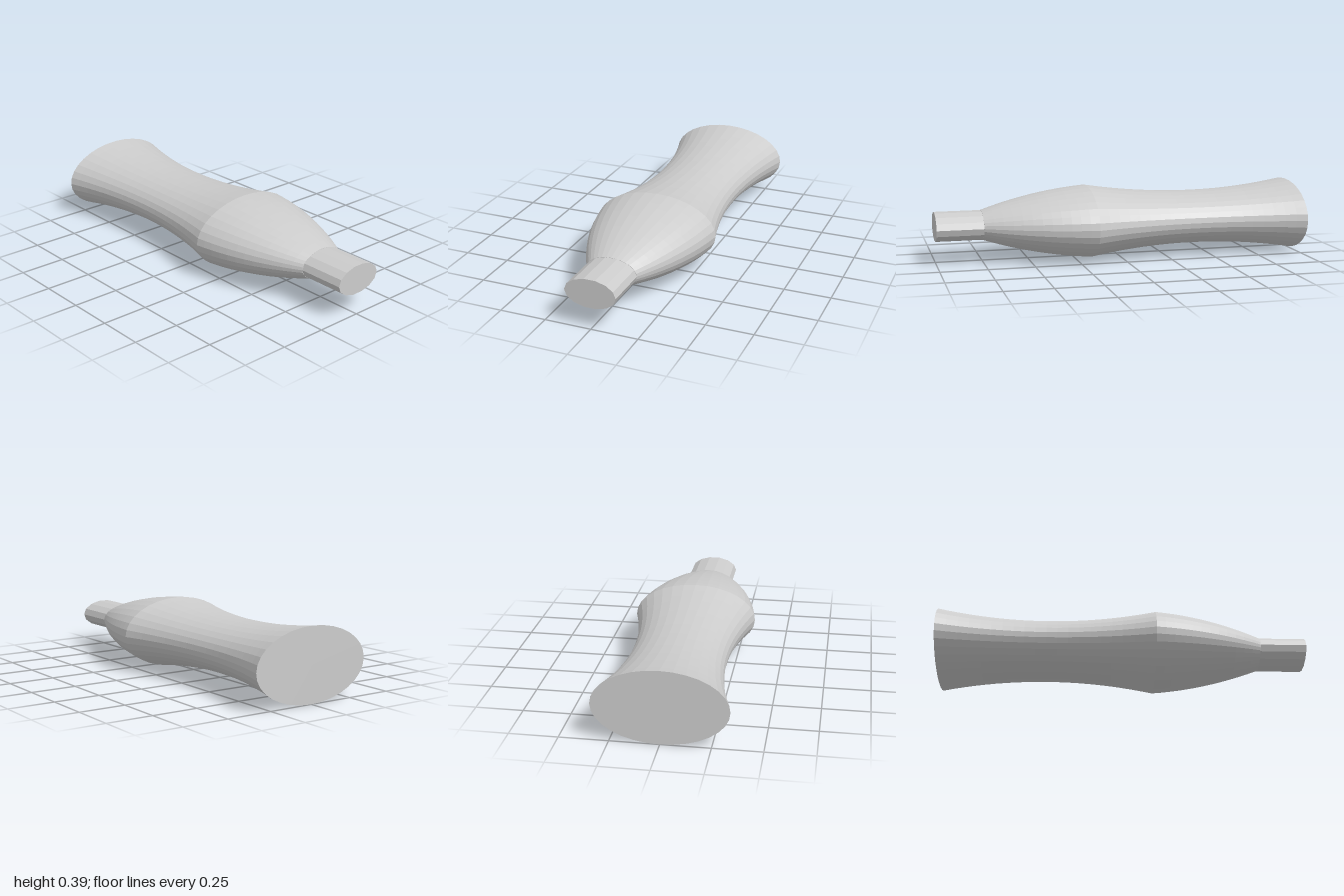
import * as THREE from 'three';

const FLATTEN = 0.571; // height / width of every cross-section
const CENTRE_Y = 0.195;

// Turned solid along z with an elliptical section; profile is [radius, z] from back to front
function turned(name, profile, sides) {
  const points = profile.map(([r, z]) => new THREE.Vector2(r, z));
  const geometry = new THREE.LatheGeometry(points, sides, Math.PI / 2);
  geometry.rotateX(Math.PI / 2);
  geometry.scale(1, FLATTEN, 1);
  geometry.translate(0, CENTRE_Y, 0);
  const material = new THREE.MeshStandardMaterial({ color: 0xcccccc, flatShading: true });
  const mesh = new THREE.Mesh(geometry, material);
  mesh.name = name;
  return mesh;
}

// Curve between two [radius, z] ends, bowed out (+) or in (-) at the middle
function bowed([r0, z0], [r1, z1], bow, steps) {
  return Array.from({ length: steps + 1 }, (_, i) => {
    const t = i / steps;
    return [r0 + (r1 - r0) * t + 4 * bow * t * (1 - t), z0 + (z1 - z0) * t];
  });
}

export function createModel() {
  const group = new THREE.Group();
  group.name = 'handle';

  // Waisted grip, closed at the back
  const grip = bowed([0.339, -1], [0.339, 0.17], -0.087, 20);
  // Rounded shoulder tapering to the neck
  const shoulder = bowed([0.339, 0.17], [0.137, 0.75], 0.033, 12).slice(1);
  group.add(turned('body', [[0, -1], ...grip, ...shoulder, [0, 0.75]], 32));

  // Straight neck at the front
  group.add(turned('neck', [[0, 0.7], [0.137, 0.7], [0.137, 1], [0, 1]], 14));
  return group;
}
